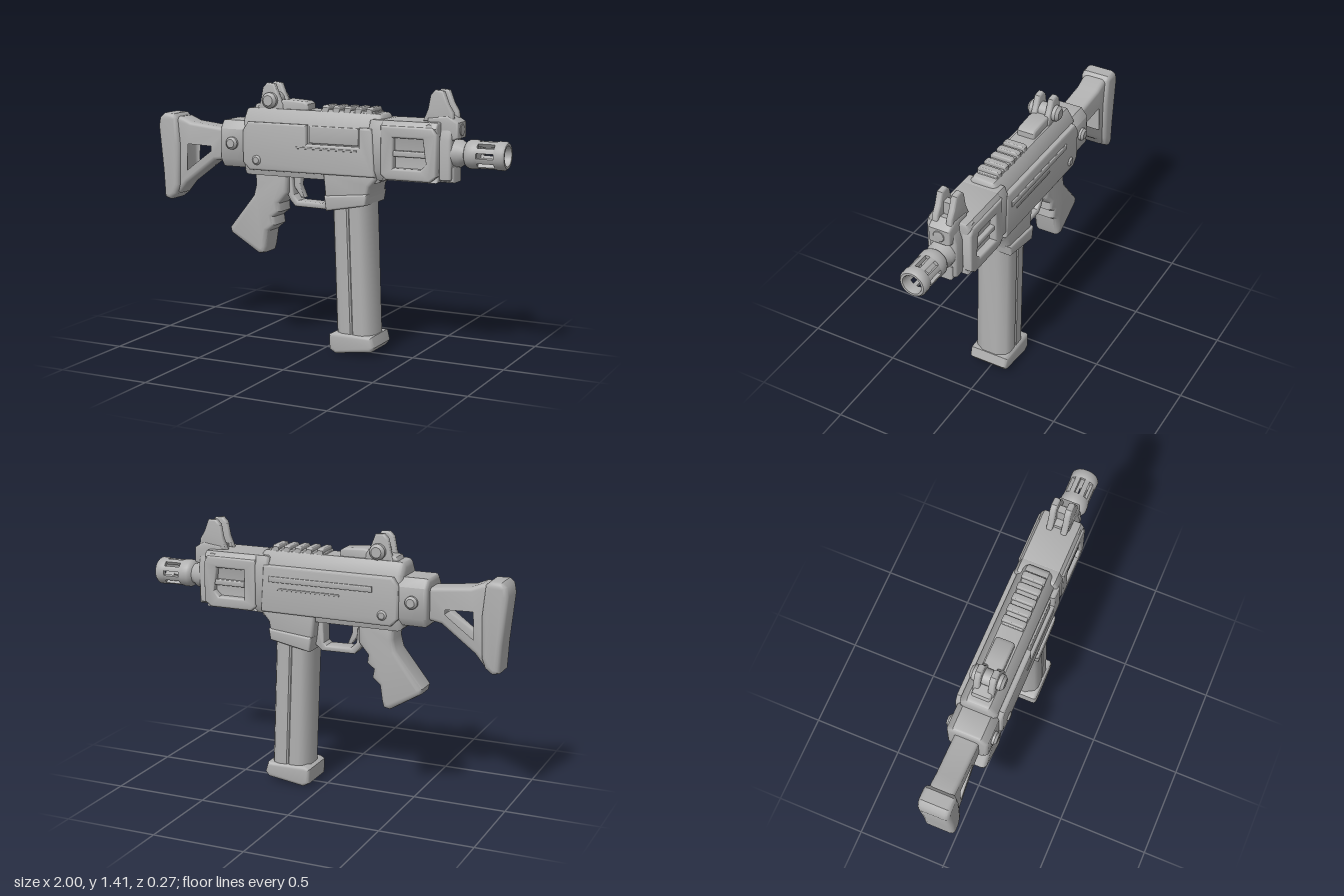
import * as THREE from 'three';
import { toCreasedNormals } from 'three/addons/utils/BufferGeometryUtils.js';

export function createModel() {
  const model = new THREE.Group();
  const grey = new THREE.MeshStandardMaterial({ color: 0xb0b0b0, side: THREE.DoubleSide });
  grey.name = 'grey';

  const add = (name, geo) => {
    const mesh = new THREE.Mesh(toCreasedNormals(geo, 0.7), grey);
    mesh.name = name;
    model.add(mesh);
    return mesh;
  };
  const toPoints = pts => pts.map(p => new THREE.Vector2(p[0], p[1]));
  const solid = (pts, depth, bevel, holes = []) => {
    const shape = new THREE.Shape(toPoints(pts));
    for (const h of holes) shape.holes.push(new THREE.Path(toPoints(h)));
    return new THREE.ExtrudeGeometry(shape, {
      depth: depth - 2 * bevel, bevelEnabled: bevel > 0, bevelSize: bevel,
      bevelThickness: bevel, bevelOffset: -bevel, bevelSegments: 3, curveSegments: 8,
    }).translate(0, 0, bevel);
  };
  const rect = (x0, x1, y0, y1) => [[x0, y0], [x1, y0], [x1, y1], [x0, y1]];
  // Side outline extruded across the body, from z0 to z1
  const plate = (name, pts, z0, z1, bevel = 0.01, holes = []) =>
    add(name, solid(pts, z1 - z0, bevel, holes).translate(0, 0, z0));
  // Half cross-section (z, y), mirrored and extruded along x
  const beam = (name, half, x0, x1, bevel = 0.01) => {
    const pts = [...half, ...half.map(([z, y]) => [-z, y]).reverse()];
    return add(name, solid(pts, x1 - x0, bevel).rotateY(Math.PI / 2).translate(x0, 0, 0));
  };
  // Turned part on the x axis; profile is a list of (x, radius)
  const turned = (name, y, profile, seg = 32) =>
    add(name, new THREE.LatheGeometry(toPoints(profile.map(([x, r]) => [r, x])), seg)
      .rotateZ(-Math.PI / 2).translate(0, y, 0));
  // Domed pin crossing the body
  const pin = (name, x, y, r, half) => {
    const e = r * 0.35;
    const prof = [[0, -half], [r - e, -half], [r, e - half], [r, half - e], [r - e, half], [0, half]];
    add(name, new THREE.LatheGeometry(toPoints(prof), 20).rotateX(Math.PI / 2).translate(x, y, 0));
  };

  // Stock
  plate('stockFrame', [[-0.93, 1.2], [-0.86, 1.205], [-0.8, 1.18], [-0.57, 1.155], [-0.57, 0.99], [-0.65, 0.975],
    [-0.83, 0.84], [-0.88, 0.78], [-0.93, 0.79]], -0.065, 0.065, 0.022,
    [[[-0.84, 1.08], [-0.65, 1.075], [-0.65, 1.015], [-0.84, 0.885]]]);
  plate('buttPad', [[-0.965, 1.222], [-0.9, 1.22], [-0.88, 1.2], [-0.865, 1.05], [-0.87, 0.83], [-0.89, 0.775],
    [-0.93, 0.745], [-0.967, 0.755], [-0.975, 0.9], [-1, 1.15], [-0.99, 1.2]], -0.085, 0.085, 0.025);
  beam('stockHinge', [[0.075, 1.205], [0.11, 1.16], [0.11, 1.0], [0.08, 0.955]], -0.59, -0.42, 0.02);
  pin('hingeBolt', -0.51, 1.085, 0.034, 0.135);

  // Receiver
  beam('receiver', [[0.06, 1.275], [0.1, 1.215], [0.102, 0.98], [0.085, 0.92]], -0.455, 0.35, 0.03);
  const side = [[-0.44, 0.99], [-0.4, 0.95], [0.33, 0.955], [0.315, 1.205]];
  const port = [[0.24, 1.205], [0.24, 1.105], [-0.06, 1.105], [-0.06, 1.205]];
  const sideEnd = [[-0.41, 1.205], [-0.44, 1.16]];
  plate('rightSidePlate', [...side, ...port, ...sideEnd], 0.08, 0.127, 0.012);
  plate('leftSidePlate', [...side, ...sideEnd], -0.127, -0.08, 0.012);
  plate('boltCover', rect(-0.05, 0.23, 1.11, 1.2), 0.09, 0.11, 0.006);
  for (const s of [-1, 1]) {
    plate('sideRib', rect(-0.12, 0.23, 1.08, 1.09), s * 0.128 - 0.004, s * 0.128 + 0.004, 0.002);
  }
  plate('chargingTrack', rect(-0.3, 0.28, 1.12, 1.15), -0.135, -0.12, 0.005);
  pin('receiverPin', -0.355, 1.005, 0.026, 0.136);

  // Top rail
  beam('railBase', [[0.055, 1.285], [0.06, 1.25]], -0.01, 0.3, 0.004);
  for (let i = 0; i < 5; i++) {
    beam('railTooth', [[0.05, 1.305], [0.062, 1.295], [0.062, 1.27]], i * 0.063, i * 0.063 + 0.036, 0.006);
  }

  // Handguard with side windows
  beam('frontCollar', [[0.1, 1.25], [0.12, 1.2], [0.12, 0.99], [0.09, 0.94]], 0.29, 0.38, 0.015);
  beam('handguardCore', [[0.1, 1.25], [0.117, 1.22], [0.095, 1.17], [0.085, 0.99], [0.1, 0.945]], 0.36, 0.665, 0.01);
  const frame = [[0.36, 0.975], [0.39, 0.95], [0.63, 0.95], [0.667, 0.98], [0.667, 1.19], [0.645, 1.225], [0.36, 1.225]];
  const windowHole = [[0.43, 1.01], [0.58, 1.01], [0.61, 1.04], [0.59, 1.165], [0.43, 1.165]];
  for (const s of [-1, 1]) {
    const z = s > 0 ? 0.07 : -0.125;
    plate('handguardSide', frame, z, z + 0.055, 0.012, [windowHole]);
    plate('windowBar', rect(0.42, 0.62, 1.07, 1.1), s * 0.1 - 0.015, s * 0.1 + 0.015, 0.006);
  }
  beam('handguardNose', [[0.06, 1.21], [0.075, 1.16], [0.07, 0.96], [0.05, 0.95]], 0.64, 0.725, 0.015);
  plate('noseLatch', rect(0.66, 0.735, 0.945, 1.03), -0.055, 0.055, 0.012);
  turned('gasTube', 1.21, [[0.62, 0.04], [0.745, 0.04], [0.758, 0.028], [0.76, 0]], 20);

  // Barrel and slotted muzzle
  const axis = 1.092;
  turned('barrel', axis, [[0.64, 0.07], [0.755, 0.07], [0.775, 0.055], [0.84, 0.055], [0.84, 0]]);
  turned('muzzleRear', axis, [[0.78, 0.05], [0.79, 0.066], [0.805, 0.074], [0.835, 0.074], [0.855, 0.07],
    [0.855, 0.05], [0.83, 0.05]]);
  turned('muzzleFront', axis, [[0.945, 0.05], [0.945, 0.07], [0.955, 0.073], [0.988, 0.073], [1, 0.064], [1, 0.052],
    [0.99, 0.048], [0.945, 0.05]]);
  for (let i = 0; i < 8; i++) {
    const mid = (i + 0.5) * Math.PI / 4, half = 0.2;
    const arc = new THREE.Shape();
    arc.absarc(0, 0, 0.07, mid - half, mid + half, false);
    arc.absarc(0, 0, 0.05, mid + half, mid - half, true);
    add('muzzleRib', new THREE.ExtrudeGeometry(arc, { depth: 0.1, bevelEnabled: false, curveSegments: 6 })
      .rotateY(Math.PI / 2).translate(0.85, axis, 0));
  }

  // Sights
  const wing = x => [[x - 0.085, 1.25], [x - 0.06, 1.31], [x - 0.045, 1.385], [x - 0.02, 1.41],
    [x + 0.025, 1.405], [x + 0.05, 1.34], [x + 0.075, 1.3], [x + 0.08, 1.25]];
  for (const [name, x] of [['rearSight', -0.31], ['frontSight', 0.648]]) {
    plate(name + 'Right', wing(x), 0.022, 0.056, 0.01);
    plate(name + 'Left', wing(x), -0.056, -0.022, 0.01);
    plate(name + 'Post', rect(x - 0.02, x + 0.02, 1.25, 1.35), -0.03, 0.03, 0.006);
  }
  plate('rearSightBase', [[-0.42, 1.25], [-0.4, 1.295], [-0.22, 1.325], [-0.11, 1.318], [-0.09, 1.305], [-0.09, 1.26]],
    -0.05, 0.05, 0.012);
  pin('rearSightKnob', -0.305, 1.318, 0.042, 0.09);
  plate('frontSightBase', [[0.585, 1.2], [0.59, 1.27], [0.7, 1.285], [0.755, 1.25], [0.755, 1.17], [0.7, 1.15]],
    -0.06, 0.06, 0.012);
  pin('frontSightPin', 0.62, 1.225, 0.025, 0.11);

  // Pistol grip with finger grooves
  plate('grip', [[-0.4, 0.95], [-0.2, 0.95], [-0.203, 0.83], [-0.255, 0.77], [-0.25, 0.725], [-0.288, 0.695],
    [-0.28, 0.65], [-0.322, 0.615], [-0.335, 0.53], [-0.345, 0.495], [-0.38, 0.488], [-0.55, 0.59], [-0.557, 0.62],
    [-0.41, 0.805], [-0.395, 0.865]], -0.075, 0.075, 0.025);

  // Trigger and guard
  plate('triggerGuard', [[-0.23, 0.85], [-0.2, 0.79], [-0.17, 0.758], [0.015, 0.755], [0.06, 0.79], [0.06, 0.94],
    [0.01, 0.94], [0.005, 0.8], [-0.01, 0.787], [-0.15, 0.79], [-0.18, 0.82], [-0.19, 0.94], [-0.23, 0.94]],
    -0.045, 0.045, 0.01);
  plate('trigger', [[-0.19, 0.94], [-0.145, 0.94], [-0.15, 0.87], [-0.123, 0.805], [-0.145, 0.805], [-0.185, 0.86]],
    -0.022, 0.022, 0.006);

  // Magazine well
  plate('magazineWell', [[0.025, 0.97], [0.045, 0.8], [0.28, 0.82], [0.295, 0.9], [0.33, 0.94], [0.33, 0.97]],
    -0.112, 0.112, 0.02);
  plate('wellLip', [[0.04, 0.84], [0.052, 0.762], [0.278, 0.805], [0.288, 0.865]], -0.125, 0.125, 0.012);
  pin('wellPin', 0.31, 0.945, 0.024, 0.085);

  // Magazine: chamfered section with a seam on each side, leaning slightly
  const quarter = [[0.112, 0.04], [0.085, 0.088], [0.06, 0.1], [0.008, 0.1], [0, 0.092]];
  const section = [...quarter, ...quarter.slice(0, 4).reverse().map(([x, z]) => [-x, z])];
  section.push(...section.map(([x, z]) => [-x, -z]));
  const magazine = solid(section, 0.77, 0).rotateX(-Math.PI / 2).translate(0.167, 0.07, 0);
  const pos = magazine.attributes.position;
  for (let i = 0; i < pos.count; i++) pos.setX(i, pos.getX(i) + (0.8 - pos.getY(i)) * 0.037);
  add('magazine', magazine);
  plate('magazineBase', [[0.062, 0.1], [0.065, 0.02], [0.1, 0], [0.305, 0.028], [0.325, 0.055], [0.31, 0.11],
    [0.09, 0.115]], -0.112, 0.112, 0.018);

  return model;
}
